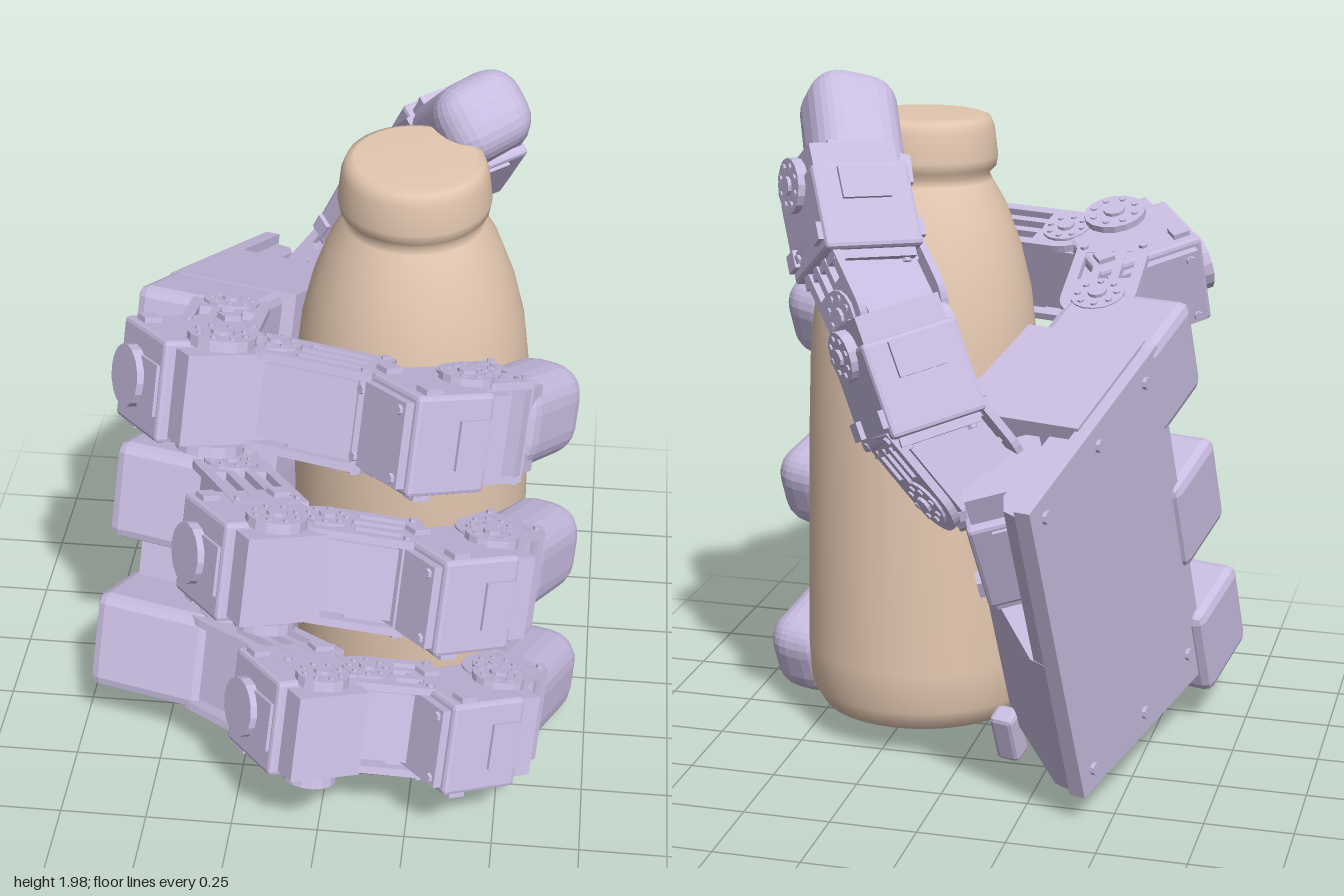
import * as THREE from 'three';
import { RoundedBoxGeometry } from 'three/addons/geometries/RoundedBoxGeometry.js';

const shell = new THREE.MeshStandardMaterial({ color: 0xc8bce0, flatShading: true });
const clay = new THREE.MeshStandardMaterial({ color: 0xe3c7b0, side: THREE.DoubleSide });
const V = (x, y, z) => new THREE.Vector3(x, y, z);

function add(parent, name, geometry, x = 0, y = 0, z = 0, material = shell) {
  const mesh = new THREE.Mesh(geometry, material);
  mesh.name = name;
  mesh.position.set(x, y, z);
  parent.add(mesh);
  return mesh;
}
const box = (w, h, d) => new THREE.BoxGeometry(w, h, d);
const cyl = (r, h, n = 16) => new THREE.CylinderGeometry(r, r, h, n);

// Group whose z axis runs from a to b and whose y axis is the joint axis
function segment(parent, name, a, b, axis) {
  const g = new THREE.Group();
  g.name = name;
  const z = b.clone().sub(a).normalize();
  const x = axis.clone().cross(z).normalize();
  const y = z.clone().cross(x);
  g.quaternion.setFromRotationMatrix(new THREE.Matrix4().makeBasis(x, y, z));
  g.position.copy(a).add(b).multiplyScalar(0.5);
  parent.add(g);
  return { g, len: a.distanceTo(b) };
}

// Disc with a ring of bolts, on both joint faces
function horns(g, z, y, r) {
  for (const s of [-1, 1]) {
    add(g, 'hornDisc', cyl(r, 0.03), 0, s * y, z);
    add(g, 'hornHub', cyl(r * 0.35, 0.05, 10), 0, s * y, z);
    for (let i = 0; i < 8; i++) {
      const t = i * Math.PI / 4;
      add(g, 'hornBolt', cyl(0.01, 0.042, 6), Math.cos(t) * r * 0.72, s * y, z + Math.sin(t) * r * 0.72);
    }
  }
}

// Servo: stepped case, end cap, side ribs and corner screws
function servo(parent, name, a, b, axis, w = 0.27, h = 0.27) {
  const { g, len } = segment(parent, name, a, b, axis);
  add(g, 'servoCase', new RoundedBoxGeometry(w, h, len * 0.8, 1, 0.012), 0, 0, -len * 0.1);
  add(g, 'servoShoulder', box(w * 0.8, h * 0.88, len * 0.3), 0, 0, len * 0.38);
  add(g, 'servoCap', box(w * 0.85, h * 0.85, 0.03), 0, 0, -len / 2 - 0.01);
  for (const sx of [-1, 1]) {
    add(g, 'sideRib', box(0.02, h * 0.5, len * 0.3), sx * w / 2, 0, len * 0.1);
    for (const sy of [-1, 1]) {
      add(g, 'caseScrew', cyl(0.014, 0.03, 6).rotateX(Math.PI / 2), sx * w * 0.34, sy * h * 0.34, -len / 2 - 0.02);
      add(g, 'edgeLug', box(0.05, 0.03, 0.05), sx * w * 0.36, sy * h / 2, -len * 0.32);
    }
  }
  horns(g, len * 0.28, h / 2 + 0.005, w * 0.28);
  return g;
}

// Bracket arm outline with a hub hole and three slots
function armGeometry(len, r) {
  const s = new THREE.Shape();
  s.moveTo(-r, -len / 2);
  s.lineTo(r, -len / 2);
  s.lineTo(r, len / 2 - r);
  s.absarc(0, len / 2 - r, r, 0, Math.PI, false);
  s.lineTo(-r, -len / 2);
  const hub = new THREE.Path();
  hub.absarc(0, len / 2 - r, r * 0.4, 0, Math.PI * 2, true);
  s.holes.push(hub);
  for (const x of [-0.55, 0, 0.55]) {
    const p = new THREE.Path();
    const l = x * r - r * 0.16, q = x * r + r * 0.16, top = len / 2 - r * (x ? 1.8 : 1.6);
    p.moveTo(l, -len * 0.38);
    p.lineTo(l, top);
    p.lineTo(q, top);
    p.lineTo(q, -len * 0.38);
    s.holes.push(p);
  }
  return new THREE.ExtrudeGeometry(s, { depth: 0.022, bevelEnabled: false, curveSegments: 8 })
    .translate(0, 0, -0.011).rotateX(Math.PI / 2);
}

// U bracket: web, two arms and a smaller core between them
function bracket(parent, name, a, b, axis, w = 0.2, h = 0.25) {
  const { g, len } = segment(parent, name, a, b, axis);
  for (const s of [-1, 1]) {
    add(g, 'bracketArm', armGeometry(len, w / 2), 0, s * h / 2, 0);
    for (const x of [-1, 1]) add(g, 'bracketBolt', cyl(0.013, 0.04, 6), x * w * 0.4, s * h / 2, -len * 0.44);
  }
  add(g, 'bracketWeb', box(w, h, 0.03), 0, 0, -len / 2 + 0.015);
  add(g, 'bracketCore', box(w * 0.78, h * 0.82, len * 0.8), 0, 0, 0);
  horns(g, len / 2 - w / 2, h / 2 + 0.004, w * 0.36);
}

// Rounded fingertip on a collar
function fingertip(parent, a, b, axis) {
  const { g, len } = segment(parent, 'fingertip', a, b, axis);
  add(g, 'tipPad', new RoundedBoxGeometry(0.23, 0.26, len, 3, 0.09));
  add(g, 'tipCollar', box(0.2, 0.24, 0.1), 0, 0, -len / 2 + 0.05);
}

// Extrudes an outline in (x, z) upward from y0 to y1
function prism(points, y0, y1) {
  const s = new THREE.Shape(points.map(p => new THREE.Vector2(p[0], p[1])));
  return new THREE.ExtrudeGeometry(s, { depth: y1 - y0, bevelEnabled: false }).rotateX(Math.PI / 2).translate(0, y1, 0);
}

// Lets the lower rim of the palm drop toward the fingers
function slopeRim(geometry) {
  const p = geometry.attributes.position;
  for (let i = 0; i < p.count; i++) {
    if (p.getY(i) < -0.5) p.setY(i, p.getY(i) - (p.getZ(i) + 0.69) * 0.23);
  }
  return geometry;
}

// Palm: flat back plate, wedge-shaped body and a pocket for the thumb servo
function buildPalm(hand) {
  add(hand, 'palmBackPlate', slopeRim(prism([[-0.565, -0.69], [-0.52, -0.69], [-0.52, 0.1], [-0.565, 0.1]], -0.55, 0.43)));
  add(hand, 'palmWedge', slopeRim(prism([[-0.53, -0.68], [-0.46, -0.66], [-0.17, -0.38], [-0.17, 0.1], [-0.53, 0.1]], -0.545, -0.1)));
  add(hand, 'palmUpperBody', prism([[-0.53, -0.33], [-0.15, -0.33], [-0.17, 0.1], [-0.53, 0.1]], -0.11, 0.44));
  add(hand, 'pocketWall', prism([[-0.53, -0.68], [-0.47, -0.66], [-0.44, -0.6], [-0.44, -0.32], [-0.53, -0.32]], -0.11, 0.4));
  for (const [y, z] of [[-0.5, -0.62], [-0.6, 0], [0.37, -0.62], [0.37, 0], [-0.57, -0.3], [0.37, -0.3]])
    add(hand, 'plateScrew', cyl(0.018, 0.02, 8).rotateZ(Math.PI / 2), -0.566, y, z);
  for (const z of [-0.38, -0.15]) add(hand, 'lowerLug', box(0.08, 0.05, 0.09), -0.4, -0.56 - (z + 0.69) * 0.23, z);
  add(hand, 'lowerPeg', new RoundedBoxGeometry(0.075, 0.16, 0.07, 1, 0.015), -0.18, -0.64, -0.43);
}

// Lower and upper servo centres (x, z) of the three fingers, top to bottom
const lowerServos = [[-0.22, 0.65], [-0.02, 0.62], [0.12, 0.48]];
const upperServos = [[0.43, 0.66], [0.52, 0.5], [0.55, 0.31]];

function buildFinger(hand, i) {
  const f = new THREE.Group();
  f.name = 'finger';
  f.position.y = 0.29 - 0.47 * i;
  hand.add(f);
  const up = V(0, 1, 0);
  const P = (x, z) => V(x, 0, z);
  const [bx, bz] = lowerServos[i], [ex, ez] = upperServos[i];
  const B = P(bx, bz), E = P(ex, ez);
  add(f, 'knuckleBlock', new RoundedBoxGeometry(0.36, 0.29, 0.28, 1, 0.03), -0.39 - 0.015 * i, 0, 0.19);
  bracket(f, 'knuckleBracket', P(bx, bz - 0.08), P(-0.32, 0.19), up, 0.22, 0.26);
  const lower = servo(f, 'lowerServo', P(bx - 0.13, bz - 0.12), P(bx + 0.12, bz + 0.11), up, 0.33 - 0.03 * i, 0.28);
  add(lower, 'servoDrum', cyl(0.085, 0.06).rotateZ(Math.PI / 2), -0.165 + 0.015 * i, 0, -0.07);
  bracket(f, 'middleBracket', B.clone().lerp(E, 0.78).add(P(-0.01, -0.03)), B.clone().lerp(E, 0.15).add(P(-0.01, -0.03)), up, 0.2, 0.25);
  servo(f, 'upperServo', P(ex - 0.09, ez + 0.1), P(ex + 0.1, ez - 0.13), up, 0.27, 0.27);
  bracket(f, 'tipBracket', P(0.57 + 0.025 * i, 0.42 - 0.19 * i), P(ex, ez - 0.06), up, 0.2, 0.26);
  fingertip(f, P(0.54 + 0.025 * i, 0.5 - 0.19 * i), P(0.62 - 0.005 * i, 0.12 - 0.235 * i), up);
}

// Thumb rises from the palm and arches over the bottle's shoulder
function buildThumb(root) {
  const t = new THREE.Group();
  t.name = 'thumb';
  root.add(t);
  const side = V(0.8, 0.3, -0.45);
  servo(t, 'thumbBaseServo', V(-0.25, 0.72, -0.48), V(-0.21, 1.04, -0.63), side, 0.26, 0.26);
  bracket(t, 'thumbBaseBracket', V(0.04, 1.2, -0.63), V(-0.16, 0.95, -0.6), side, 0.2, 0.25);
  servo(t, 'thumbLowerServo', V(0.0, 1.13, -0.63), V(0.13, 1.42, -0.56), side, 0.25, 0.28);
  bracket(t, 'thumbMiddleBracket', V(0.27, 1.62, -0.42), V(0.09, 1.36, -0.55), side, 0.2, 0.25);
  servo(t, 'thumbUpperServo', V(0.23, 1.53, -0.46), V(0.33, 1.78, -0.32), side, 0.27, 0.28);
  fingertip(t, V(0.26, 1.69, -0.36), V(0.39, 1.94, -0.06), side);
}

export function createModel() {
  const model = new THREE.Group();

  // Bottle, leaning slightly forward
  const profile = [[0, 0], [0.24, 0], [0.3, 0.02], [0.335, 0.08], [0.343, 0.2], [0.338, 0.8], [0.33, 1.12],
    [0.312, 1.27], [0.28, 1.4], [0.235, 1.52], [0.195, 1.59], [0.185, 1.61], [0.205, 1.63], [0.21, 1.66],
    [0.2, 1.74], [0.187, 1.77], [0.165, 1.778], [0, 1.778]].map(p => new THREE.Vector2(p[0], p[1]));
  const bottle = add(model, 'bottle', new THREE.LatheGeometry(profile, 36), 0.197, 0.08, 0.01, clay);
  bottle.rotation.x = 0.034;

  // Hand frame: x out of the palm, y across the fingers, z toward the fingers
  const hand = new THREE.Group();
  hand.name = 'hand';
  hand.position.y = 0.85;
  hand.rotation.set(-0.347, -0.25, 0, 'YXZ');
  model.add(hand);
  buildPalm(hand);
  for (let i = 0; i < 3; i++) buildFinger(hand, i);
  buildThumb(model);
  return model;
}
